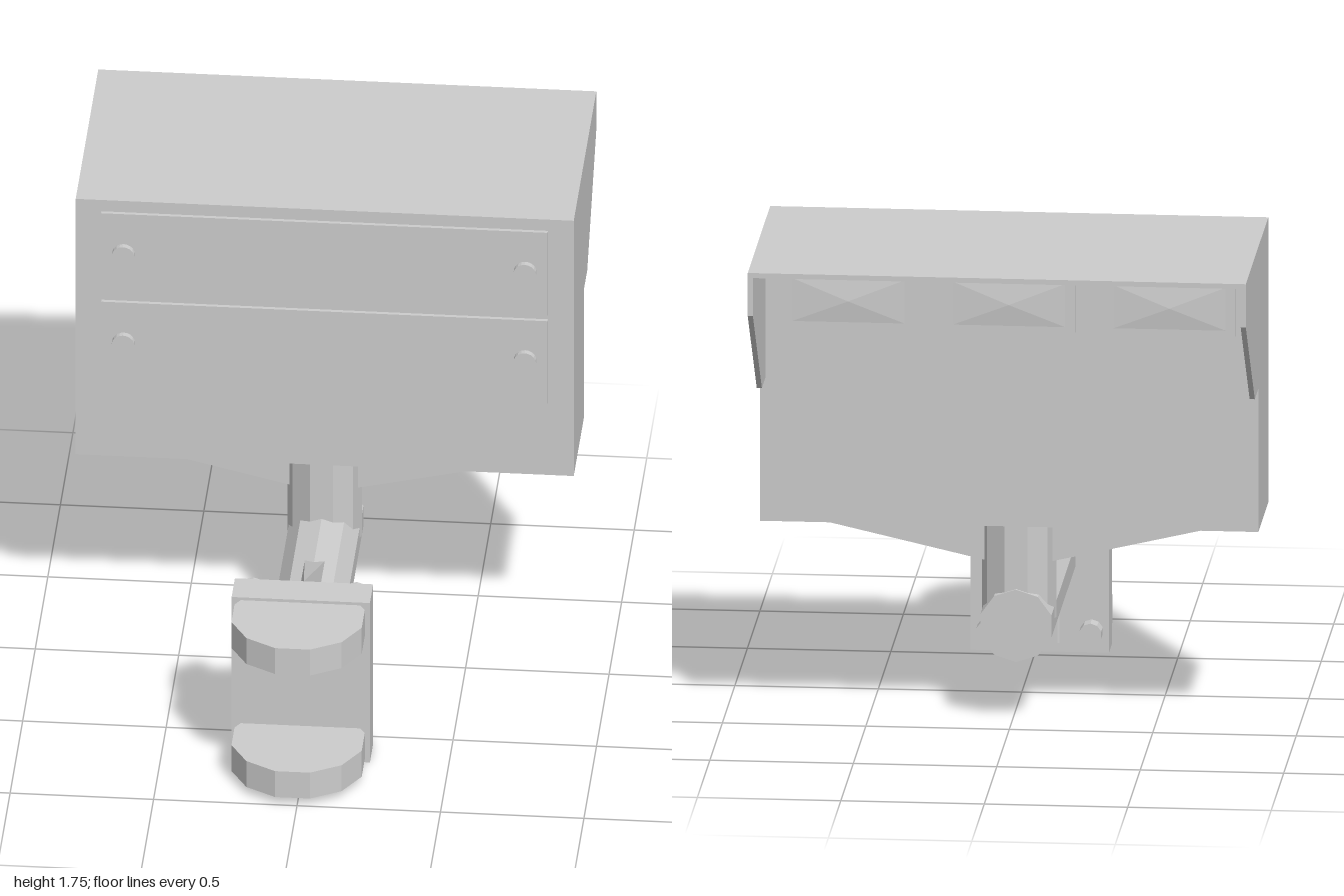
import * as THREE from 'three';
import { ConvexGeometry } from 'three/addons/geometries/ConvexGeometry.js';

export function createModel() {
  const model = new THREE.Group();
  const grey = new THREE.MeshStandardMaterial({ color: 0xcccccc, flatShading: true });
  grey.name = 'light grey';
  const cx = -0.016; // the mount sits slightly off centre

  const add = (name, geometry, x = 0, y = 0, z = 0) => {
    const mesh = new THREE.Mesh(geometry, grey);
    mesh.name = name;
    mesh.position.set(x, y, z);
    model.add(mesh);
    return mesh;
  };
  // Box given by its limits on each axis
  const box = (name, x0, x1, y0, y1, z0, z1) =>
    add(name, new THREE.BoxGeometry(x1 - x0, y1 - y0, z1 - z0),
      (x0 + x1) / 2, (y0 + y1) / 2, (z0 + z1) / 2);
  // Cylinder along z, from z0 to z1
  const rod = (name, r0, r1, sides, x, y, z0, z1) =>
    add(name, new THREE.CylinderGeometry(r1, r0, z1 - z0, sides).rotateX(Math.PI / 2), x, y, (z0 + z1) / 2);
  const hull = (name, points) =>
    add(name, new ConvexGeometry(points.map((p) => new THREE.Vector3(...p))));

  // Housing and its open hood
  box('housing', -0.868, 0.868, 0.73, 1.755, -0.5, -0.102);
  box('hoodTop', -0.85, 0.85, 1.737, 1.755, -1, -0.5);
  const profile = new THREE.Shape([[-0.5, 1.755], [-1, 1.755], [-1, 1.6], [-0.64, 1.245], [-0.5, 1.245]]
    .map((p) => new THREE.Vector2(...p)));
  for (const x of [0.868, -0.85]) {
    const side = new THREE.ExtrudeGeometry(profile, { depth: 0.018, bevelEnabled: false });
    add('hoodSide', side.rotateY(-Math.PI / 2), x);
  }

  // Access panels with round knobs
  for (const y of [1.02, 1.375]) {
    box('accessPanel', -0.778, 0.778, y, y + 0.335, -0.105, -0.088);
    for (const x of [-0.7, 0.7]) rod('panelKnob', 0.04, 0.04, 20, x, y + 0.175, -0.09, -0.066);
  }

  // Lamps under the hood, each with a shallow faceted lens
  for (const x of [-0.56, 0, 0.56]) {
    box('lampFrame', x - 0.23, x + 0.23, 1.433, 1.63, -0.512, -0.49);
    const w = 0.215, h = 0.085, y = 1.5315;
    hull('lampLens', [[x - w, y - h, -0.511], [x + w, y - h, -0.511], [x + w, y + h, -0.511],
      [x - w, y + h, -0.511], [x, y, -0.522]]);
  }

  // Post and horizontal arm
  add('post', new THREE.CylinderGeometry(0.13, 0.13, 0.4, 10).rotateY(Math.PI / 2), cx, 0.55, -0.283);
  const arm = rod('arm', 0.13, 0.13, 10, cx, 0.35, -0.415, 0.56);
  arm.rotation.z = Math.PI;

  // Braces between post and housing
  for (const s of [-1, 1]) {
    const points = [];
    for (const z of [-0.25, -0.318]) {
      points.push([s * 0.05 + cx, 0.735, z], [s * 0.868, 0.732, z], [s * 0.1 + cx, 0.555, z], [s * 0.05 + cx, 0.555, z]);
    }
    hull('postBrace', points);
  }

  // Braces between arm and mounting plate
  for (const [base, tip] of [[0.468, 0.64], [0.232, 0.002]]) {
    const mid = base + (0.35 - base) * 0.3;
    const points = [[cx, tip, 0.55]];
    for (const x of [cx - 0.035, cx + 0.035]) {
      points.push([x, base, 0.11], [x, mid, 0.11], [x, base, 0.555], [x, mid, 0.555]);
    }
    hull('armBrace', points);
  }

  // Mounting plate, clamps and bolts
  box('mountingPlate', -0.256, 0.226, 0, 0.64, 0.55, 0.68);
  for (const y of [0.083, 0.577]) {
    const clamp = new THREE.CylinderGeometry(0.235, 0.235, 0.104, 12).rotateY(Math.PI / 12);
    add('clamp', clamp, cx, y, 0.773);
    for (const x of [cx - 0.18, cx + 0.18]) {
      rod('bolt', 0.04, 0.04, 10, x, y - 0.004, 0.492, 0.56);
      rod('boltEnd', 0.04, 0.02, 10, x, y - 0.004, 0.675, 0.722);
    }
  }
  return model;
}
